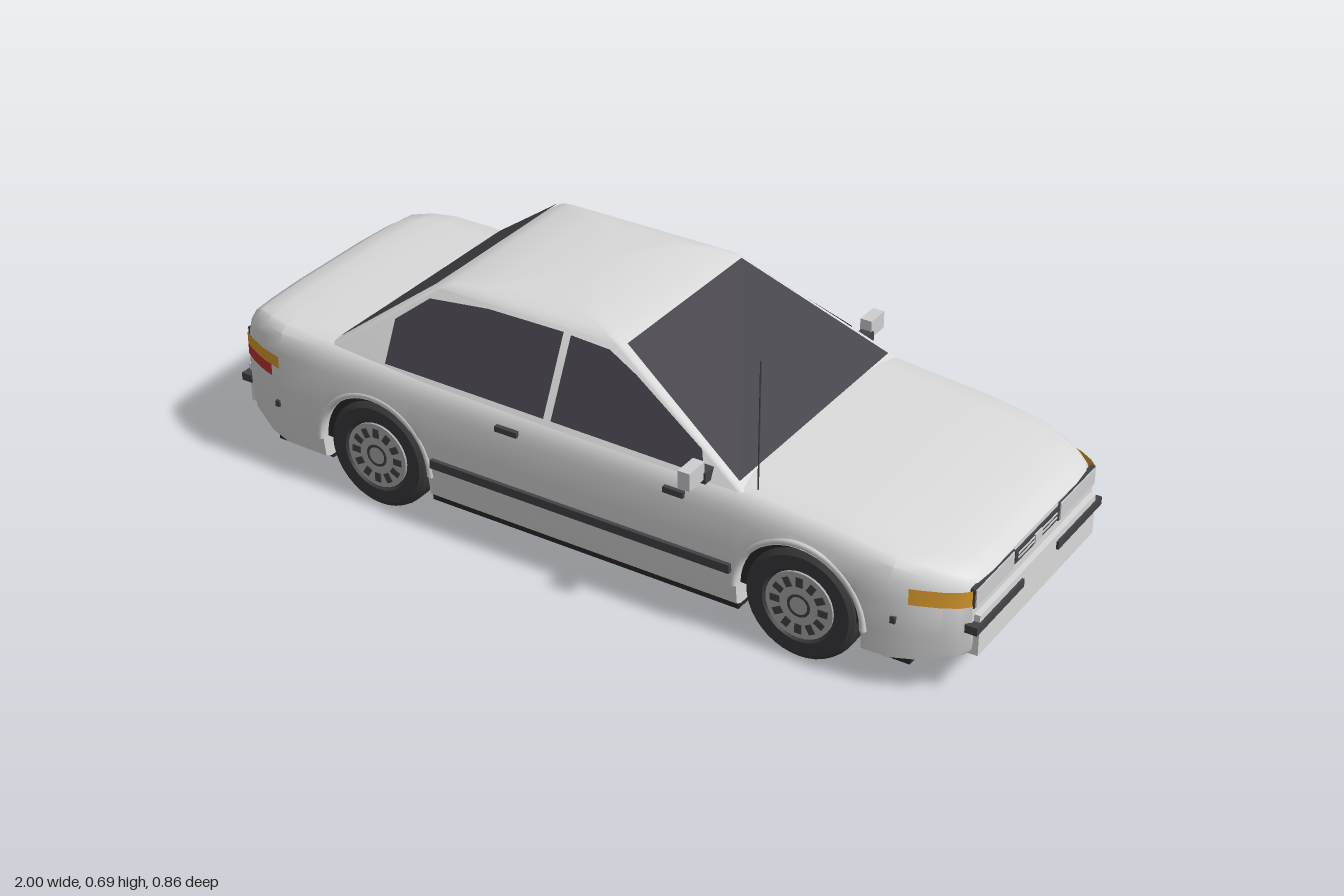
import * as THREE from 'three';
import { toCreasedNormals } from 'three/addons/utils/BufferGeometryUtils.js';

const mat = (name, color, side = THREE.FrontSide) => {
  const m = new THREE.MeshStandardMaterial({ color, side });
  m.name = name;
  return m;
};

// hull stations: x, half width, bottom, top
const HULL = [
  [-0.98, 0.295, 0.115, 0.335], [-0.962, 0.315, 0.105, 0.375], [-0.93, 0.333, 0.1, 0.395],
  [-0.88, 0.356, 0.085, 0.402], [-0.82, 0.373, 0.08, 0.403], [-0.68, 0.376, 0.08, 0.4],
  [-0.4, 0.376, 0.08, 0.39], [0.2, 0.376, 0.08, 0.385], [0.43, 0.376, 0.08, 0.38],
  [0.7, 0.376, 0.08, 0.354], [0.82, 0.373, 0.08, 0.336], [0.88, 0.354, 0.085, 0.325],
  [0.93, 0.333, 0.1, 0.313], [0.962, 0.313, 0.105, 0.3], [0.98, 0.295, 0.115, 0.282],
];
const AXLES = [-0.547, 0.6], WHEEL_Y = 0.14, ARCH = 0.155;

function hull(x) {
  let i = 0;
  while (i < HULL.length - 2 && x > HULL[i + 1][0]) i++;
  const a = HULL[i], b = HULL[i + 1], t = (x - a[0]) / (b[0] - a[0]);
  return [1, 2, 3].map(k => a[k] + (b[k] - a[k]) * t);
}

// closed skin through equal-length rings, with flat end caps
function loft(rings, crease = 0.6) {
  const p = [], n = rings[0].length;
  const tri = (...v) => v.forEach(q => p.push(...q));
  const mid = r => [0, 1, 2].map(k => r.reduce((s, q) => s + q[k], 0) / n);
  const first = rings[0], last = rings[rings.length - 1];
  for (let j = 0; j < n; j++) {
    const k = (j + 1) % n;
    for (let i = 0; i < rings.length - 1; i++) {
      const a = rings[i], b = rings[i + 1];
      tri(a[j], b[j], b[k]);
      tri(a[j], b[k], a[k]);
    }
    tri(mid(first), first[j], first[k]);
    tri(mid(last), last[k], last[j]);
  }
  const g = new THREE.BufferGeometry();
  g.setAttribute('position', new THREE.Float32BufferAttribute(p, 3));
  return toCreasedNormals(g, crease);
}

function bodyGeometry() {
  const stations = HULL.filter(s => AXLES.every(c => Math.abs(s[0] - c) > ARCH)).map(s => [s[0], hull(s[0])[1]]);
  // wheel arches lift the lower edge
  for (const c of AXLES) {
    stations.push([c - ARCH - 1e-4, 0.08], [c + ARCH + 1e-4, 0.08]);
    for (let i = 0; i <= 20; i++) {
      const a = Math.PI * i / 20;
      stations.push([c - ARCH * Math.cos(a), WHEEL_Y + ARCH * Math.sin(a)]);
    }
  }
  stations.sort((a, b) => a[0] - b[0]);
  return loft(stations.map(([x, yb]) => {
    const [w, , t] = hull(x);
    const half = [
      [w - 0.03, yb], [w - 0.012, yb + 0.008], [w - 0.003, 0.16], [w, 0.24], [w - 0.002, t - 0.07],
      [w - 0.007, t - 0.045], [w - 0.016, t - 0.02], [w - 0.035, t - 0.005], [w - 0.09, t], [w * 0.4, t + 0.004],
    ].map(([z, y]) => [z, Math.max(y, yb)]);
    const all = [...half, ...half.slice().reverse().map(([z, y]) => [-z, y])];
    return all.map(([z, y]) => [x, y, z]);
  }));
}

// cabin levels: y, rear x, front x, half width
const CABIN = [
  [0.37, -0.715, 0.45, 0.355], [0.575, -0.435, 0.075, 0.257], [0.588, -0.4, 0.03, 0.238],
  [0.597, -0.3, -0.05, 0.2], [0.602, -0.22, -0.1, 0.12],
];
const cabinAt = (y, k) => CABIN[0][k] + (CABIN[1][k] - CABIN[0][k]) * (y - 0.37) / 0.205;

function cabinGeometry() {
  const r = 0.015;
  return loft(CABIN.map(([y, xr, xf, w]) => {
    const ring = [];
    [[xf - r, w - r], [xr + r, w - r], [xr + r, r - w], [xf - r, r - w]].forEach(([cx, cz], q) => {
      for (let i = 0; i <= 3; i++) {
        const a = (q + i / 3) * Math.PI / 2;
        ring.push([cx + r * Math.cos(a), y, cz + r * Math.sin(a)]);
      }
    });
    return ring;
  }), 0.7);
}

// thin strip that follows the flank
function flankStrip(xs, y0, y1, s) {
  const p = [], idx = [];
  xs.forEach((x, i) => {
    const z = s * (hull(x)[0] + 0.003);
    p.push(x, y0, z, x, y1, z);
    if (i) idx.push(2 * i - 2, 2 * i, 2 * i + 1, 2 * i - 2, 2 * i + 1, 2 * i - 1);
  });
  const g = new THREE.BufferGeometry();
  g.setAttribute('position', new THREE.Float32BufferAttribute(p, 3));
  g.setIndex(s > 0 ? idx : idx.reverse());
  g.computeVertexNormals();
  return g;
}

export function createModel() {
  const car = new THREE.Group();
  car.name = 'sedan';
  const paint = mat('paint', 0xd9d9d9), glass = mat('glass', 0x45434a, THREE.DoubleSide);
  const trim = mat('trim', 0x434247), under = mat('underside', 0x29292b), rubber = mat('rubber', 0x39393b);
  const alloy = mat('alloy', 0xa9a9ab), amber = mat('amber', 0xdd9d2d, THREE.DoubleSide);
  const red = mat('red', 0xc23434, THREE.DoubleSide), lamp = mat('lamp', 0xcfcfd1);
  const add = (name, geo, m, parent = car) => {
    const mesh = new THREE.Mesh(geo, m);
    mesh.name = name;
    parent.add(mesh);
    return mesh;
  };
  // box from opposite corners
  const box = (name, m, x0, x1, y0, y1, z0, z1, parent = car) =>
    add(name, new THREE.BoxGeometry(x1 - x0, y1 - y0, Math.abs(z1 - z0)), m, parent)
      .position.set((x0 + x1) / 2, (y0 + y1) / 2, (z0 + z1) / 2);

  add('body', bodyGeometry(), paint);
  add('cabin', cabinGeometry(), paint);

  // windscreen and rear window
  for (const [name, k, y0, d] of [['windscreen', 2, 0.384, 0.004], ['rearWindow', 1, 0.402, -0.004]]) {
    const a = cabinAt(y0, k) + d, b = cabinAt(0.574, k) + d, w0 = cabinAt(y0, 3) - 0.015, w1 = 0.242;
    const g = new THREE.BufferGeometry();
    g.setAttribute('position', new THREE.Float32BufferAttribute(
      [a, y0, w0, a, y0, -w0, b, 0.576, -w1, b, 0.576, w1], 3));
    g.setIndex(d > 0 ? [0, 1, 2, 0, 2, 3] : [0, 2, 1, 0, 3, 2]);
    g.computeVertexNormals();
    add(name, g, glass);
  }

  // side windows
  const panes = {
    rearSideWindow: [[-0.52, 0.39], [-0.075, 0.386], [-0.075, 0.568], [-0.28, 0.566], [-0.44, 0.55], [-0.52, 0.487]],
    frontSideWindow: [[-0.055, 0.386], [0.35, 0.382], [0.33, 0.43], [0.13, 0.53], [0.05, 0.562], [-0.055, 0.566]],
  };
  for (const [name, pts] of Object.entries(panes)) for (const s of [1, -1]) {
    const g = new THREE.ShapeGeometry(new THREE.Shape(pts.map(q => new THREE.Vector2(...q))));
    const p = g.attributes.position;
    for (let i = 0; i < p.count; i++) p.setZ(i, s * (cabinAt(p.getY(i), 3) + 0.003));
    if (s < 0) g.setIndex(Array.from(g.index.array).reverse());
    g.computeVertexNormals();
    add(name, g, glass);
  }

  // wheel: tyre, rim, slots and hub
  function wheel(x, s) {
    const w = new THREE.Group();
    w.name = 'wheel';
    const tyre = [[0.02, -0.04], [0.125, -0.04], [0.136, -0.032], [0.14, -0.02], [0.14, 0.02],
      [0.136, 0.032], [0.125, 0.04], [0.092, 0.04], [0.086, 0.032], [0, 0.032]];
    add('tyre', toCreasedNormals(new THREE.LatheGeometry(tyre.map(q => new THREE.Vector2(...q)), 40), 0.6),
      rubber, w).rotation.x = Math.PI / 2;
    const rim = add('rim', new THREE.CylinderGeometry(0.084, 0.084, 0.008, 32), alloy, w);
    rim.rotation.x = Math.PI / 2;
    rim.position.z = 0.034;
    for (let i = 0; i < 12; i++) {
      const a = i * Math.PI / 6;
      const slot = add('rimSlot', new THREE.BoxGeometry(0.024, 0.017, 0.003), trim, w);
      slot.position.set(0.06 * Math.cos(a), 0.06 * Math.sin(a), 0.0385);
      slot.rotation.z = a;
    }
    add('hubRing', new THREE.RingGeometry(0.022, 0.029, 24), trim, w).position.z = 0.0395;
    w.position.set(x, WHEEL_Y, s * 0.325);
    if (s < 0) w.rotation.y = Math.PI;
    car.add(w);
  }

  for (const s of [1, -1]) {
    for (const x of AXLES) {
      wheel(x, s);
      const liner = add('archLiner',
        new THREE.CylinderGeometry(0.1535, 0.1535, 0.07, 24, 1, false, Math.PI / 2, Math.PI), under);
      liner.rotation.x = Math.PI / 2;
      liner.position.set(x, WHEEL_Y, s * 0.318);
      const lip = add('archLip', new THREE.TorusGeometry(0.162, 0.009, 8, 32, Math.PI), paint);
      lip.position.set(x, WHEEL_Y, s * 0.369);
    }
    // flank trim, handles and mirrors
    box('sideStrip', trim, -0.375, 0.435, 0.174, 0.196, s * 0.37, s * 0.385);
    box('rearHandle', trim, -0.19, -0.13, 0.331, 0.345, s * 0.368, s * 0.38);
    box('frontHandle', trim, 0.26, 0.312, 0.323, 0.338, s * 0.368, s * 0.38);
    box('mirrorBase', trim, 0.335, 0.367, 0.376, 0.403, s * 0.335, s * 0.375);
    box('mirror', lamp, 0.332, 0.362, 0.386, 0.43, s * 0.37, s * 0.432);
    for (const x of [-0.835, 0.832]) box('sideMarker', trim, x - 0.006, x + 0.006, 0.187, 0.203, s * 0.36, s * 0.374);

    // corner lamps
    add('frontIndicator', flankStrip([0.862, 0.88, 0.93, 0.962, 0.98], 0.24, 0.28, s), amber);
    add('rearIndicator', flankStrip([-0.98, -0.962, -0.93, -0.88, -0.82], 0.296, 0.328, s), amber);
    add('rearSideLamp', flankStrip([-0.965, -0.93, -0.88, -0.85], 0.266, 0.296, s), red);

    // front and rear faces
    box('headlampFrame', trim, 0.972, 0.983, 0.234, 0.282, s * 0.11, s * 0.294);
    box('headlamp', lamp, 0.975, 0.986, 0.237, 0.279, s * 0.114, s * 0.291);
    box('tailLampFrame', trim, -0.984, -0.975, 0.252, 0.322, s * 0.13, s * 0.29);
    box('tailLamp', red, -0.987, -0.975, 0.257, 0.317, s * 0.135, s * 0.285);
    box('frontBumperStrip', trim, 0.97, 1, 0.178, 0.198, s * 0.085, s * 0.308);
    box('rearBumperStrip', trim, -1, -0.97, 0.178, 0.198, s * 0.085, s * 0.308);
  }

  // grille and number plate panel
  box('grille', trim, 0.972, 0.985, 0.243, 0.274, -0.108, 0.108);
  for (const y of [0.253, 0.264]) box('grilleBar', lamp, 0.975, 0.987, y - 0.002, y + 0.002, -0.095, 0.095);
  box('grilleCentre', lamp, 0.975, 0.989, 0.247, 0.27, -0.017, 0.017);
  box('plateFrame', trim, -0.985, -0.975, 0.235, 0.315, -0.1, 0.1);
  box('plateRecess', under, -0.988, -0.975, 0.243, 0.307, -0.09, 0.09);
  box('frontBumper', paint, 0.96, 0.994, 0.112, 0.215, -0.285, 0.285);
  box('rearBumper', paint, -0.994, -0.96, 0.112, 0.215, -0.285, 0.285);

  // underside panels
  box('floor', under, -0.86, 0.86, 0.062, 0.29, -0.283, 0.283);
  box('middleFloor', under, -0.392, 0.444, 0.068, 0.085, -0.355, 0.355);
  box('frontFloor', under, 0.757, 0.86, 0.068, 0.098, -0.335, 0.335);
  box('rearFloor', under, -0.87, -0.704, 0.068, 0.098, -0.335, 0.335);

  add('aerial', new THREE.CylinderGeometry(0.0018, 0.0018, 0.33, 6), trim).position.set(0.47, 0.525, 0.325);
  return car;
}
